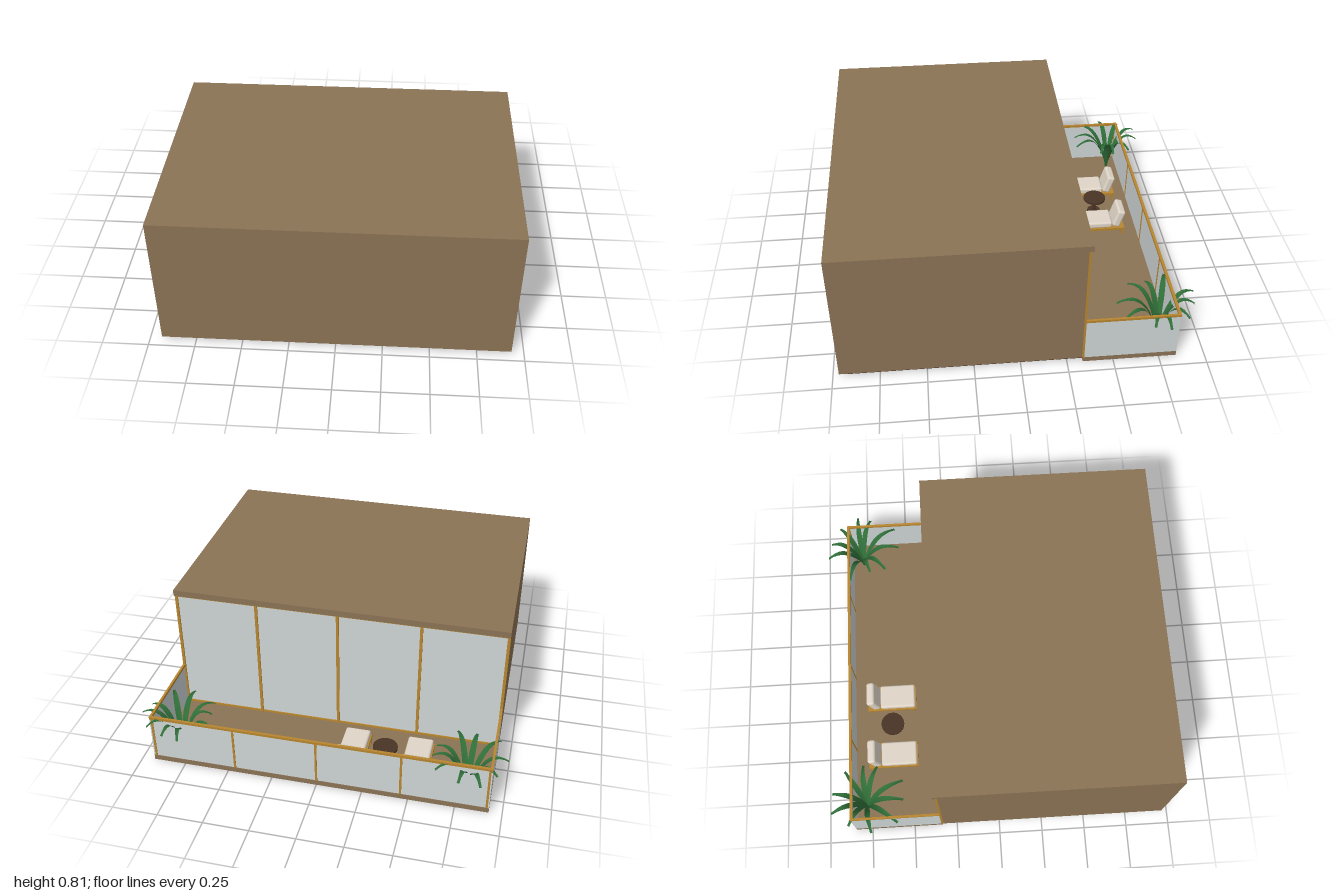
import * as THREE from 'three';
import { RoundedBoxGeometry } from 'three/addons/geometries/RoundedBoxGeometry.js';

const paint = (name, color) => {
  const m = new THREE.MeshStandardMaterial({ color });
  m.name = name;
  return m;
};

export function createModel() {
  const root = new THREE.Group();
  root.name = 'houseWithTerrace';

  const wall = paint('wall brown', 0x8b7355);
  const dark = paint('dark wood', 0x4a3426);
  const gold = paint('golden frame', 0xb8862f);
  const glass = paint('pale glass', 0xcfd5d6);
  const cream = paint('cream cushion', 0xe0d6c8);
  const leaf = paint('leaf green', 0x2f6e38);
  leaf.side = THREE.DoubleSide;

  const add = (name, geometry, material, parent = root) => {
    const mesh = new THREE.Mesh(geometry, material);
    mesh.name = name;
    parent.add(mesh);
    return mesh;
  };
  // Box given by its limits on each axis
  const box = (name, mat, x0, x1, y0, y1, z0, z1, parent) => {
    const g = new THREE.BoxGeometry(x1 - x0, y1 - y0, z1 - z0);
    g.translate((x0 + x1) / 2, (y0 + y1) / 2, (z0 + z1) / 2);
    return add(name, g, mat, parent);
  };

  const W = 0.93;

  // House
  box('plinth', dark, -0.905, 0.905, 0, 0.03, -0.335, 0.935);
  box('houseBody', wall, -W, W, 0.03, 0.775, -0.33, 0.965);
  box('roof', wall, -W, W, 0.775, 0.81, -0.355, 0.965);

  // Glazed rear wall: panes, mullions and rails
  box('rearGlazing', glass, -W + 0.003, W - 0.003, 0.03, 0.775, -0.335, -0.33);
  for (let i = 0; i <= 4; i++) {
    const x = -W + 0.008 + (i * (2 * W - 0.016)) / 4;
    box('mullion', gold, x - 0.008, x + 0.008, 0.03, 0.775, -0.342, -0.33);
  }
  box('glazingTopRail', gold, -W, W, 0.763, 0.775, -0.341, -0.33);
  box('glazingBottomRail', gold, -W, W, 0.03, 0.042, -0.341, -0.33);

  // Terrace deck and glass balustrade
  box('deck', wall, -W, W, 0, 0.03, -0.845, -0.335);
  box('rearBalustradeGlass', glass, -W, W, 0.03, 0.288, -0.842, -0.836);
  for (let i = 0; i <= 4; i++) {
    const x = -W + 0.013 + (i * (2 * W - 0.026)) / 4;
    box('balustradePost', gold, x - 0.006, x + 0.006, 0.03, 0.288, -0.845, -0.833);
  }
  box('rearHandrail', gold, -W, W, 0.286, 0.3, -0.847, -0.832);
  for (const s of [-1, 1]) {
    const a = s * W, b = s * (W - 0.006), c = s * (W - 0.013);
    box('sideBalustradeGlass', glass, Math.min(a, b), Math.max(a, b), 0.03, 0.288, -0.845, -0.343);
    box('sideHandrail', gold, Math.min(a, c), Math.max(a, c), 0.286, 0.3, -0.847, -0.343);
  }

  // Lounge chairs
  for (const x of [-0.508, -0.152]) {
    const chair = new THREE.Group();
    chair.name = 'loungeChair';
    chair.position.set(x, 0.03, 0);
    root.add(chair);
    box('chairFrame', gold, -0.076, 0.076, 0.035, 0.05, -0.755, -0.463, chair);
    for (const sx of [-1, 1]) for (const z of [-0.74, -0.48])
      box('chairLeg', gold, sx * 0.068 - 0.006, sx * 0.068 + 0.006, 0, 0.035, z - 0.006, z + 0.006, chair);
    add('seatCushion', new RoundedBoxGeometry(0.14, 0.04, 0.21, 2, 0.012), cream, chair).position.set(0, 0.07, -0.573);
    const back = add('backCushion', new RoundedBoxGeometry(0.14, 0.12, 0.05, 2, 0.015), cream, chair);
    back.position.set(0, 0.11, -0.718);
    back.rotation.x = -0.3;
  }

  // Side table
  const tx = -0.33, tz = -0.605;
  add('tableTop', new THREE.CylinderGeometry(0.068, 0.068, 0.014, 32), dark).position.set(tx, 0.13, tz);
  add('tableStem', new THREE.CylinderGeometry(0.012, 0.012, 0.1, 16), dark).position.set(tx, 0.075, tz);
  add('tableFoot', new THREE.CylinderGeometry(0.04, 0.04, 0.008, 24), dark).position.set(tx, 0.034, tz);

  // Arching leaf: a tapered strip from the plant's foot to a tip offset (dx, dz)
  const leafGeometry = (dx, dz) => {
    const len = Math.hypot(dx, dz), ux = dx / len, uz = dz / len;
    const g = new THREE.PlaneGeometry(1, 1, 2, 10);
    const p = g.attributes.position;
    for (let i = 0; i < p.count; i++) {
      const side = p.getX(i) * 2, t = p.getY(i) + 0.5;
      const r = len * Math.pow(t, 1.25);
      const y = 0.03 + 0.26 * Math.sin(Math.min(1, t / 0.75) * Math.PI / 2)
        - 0.024 * Math.pow(Math.max(0, t - 0.75) / 0.25, 2);
      const w = 0.007 + 0.009 * Math.sin(Math.PI * Math.min(1, t * 1.1));
      const fold = 0.004 * Math.abs(side);
      p.setXYZ(i, ux * r - uz * w * side, y + fold, uz * r + ux * w * side);
    }
    g.computeVertexNormals();
    return g;
  };

  // Corner plants: foot position and leaf tips in plan
  const plants = [
    [-0.8, -0.77, [[-1, -0.73], [-0.955, -0.86], [-0.88, -0.957], [-0.767, -0.95], [-0.64, -0.877],
      [-0.61, -0.77], [-0.62, -0.69], [-0.71, -0.545], [-0.82, -0.545], [-0.95, -0.58]]],
    [0.785, -0.77, [[0.725, -0.965], [0.82, -0.946], [0.928, -0.893], [1, -0.78], [0.976, -0.7],
      [0.906, -0.55], [0.778, -0.53], [0.634, -0.615], [0.57, -0.834], [0.62, -0.71]]],
  ];
  for (const [px, pz, tips] of plants) {
    const plant = new THREE.Group();
    plant.name = 'cornerPlant';
    plant.position.set(px, 0, pz);
    root.add(plant);
    for (const [x, z] of tips) add('leaf', leafGeometry(x - px, z - pz), leaf, plant);
  }

  return root;
}
